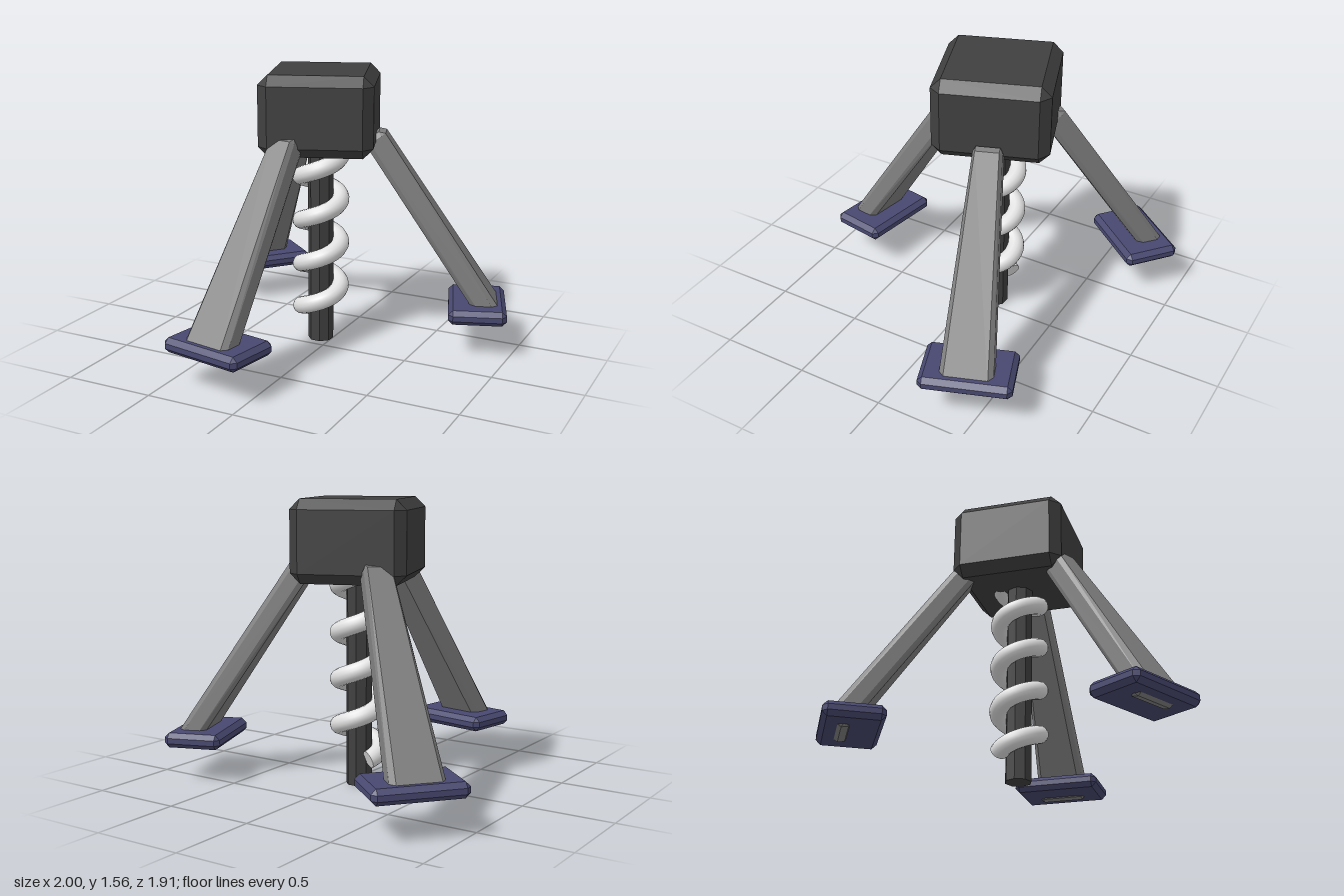
import * as THREE from 'three';
import { ConvexGeometry } from 'three/addons/geometries/ConvexGeometry.js';

const mat = (name, color, extra = {}) => {
  const m = new THREE.MeshStandardMaterial({ color, ...extra });
  m.name = name;
  return m;
};

// Box with every edge chamfered by c; taper scales the depth of the top end
function chamferBox(w, h, d, c, taper = 1) {
  const points = [];
  for (const sx of [-1, 1]) for (const sy of [-1, 1]) for (const sz of [-1, 1]) {
    for (let axis = 0; axis < 3; axis++) {
      const inset = [0, 1, 2].map(i => (i === axis ? 0 : c));
      const k = sy > 0 ? taper : 1;
      points.push(new THREE.Vector3(
        sx * (w / 2 - inset[0]),
        sy * (h / 2 - inset[1]),
        sz * (d / 2 - inset[2]) * k));
    }
  }
  return new ConvexGeometry(points);
}

// Rising spiral around the column
class Spiral extends THREE.Curve {
  getPoint(t, target = new THREE.Vector3()) {
    const start = -210 * Math.PI / 180, pitch = 0.255, midY = 0.305, topY = 1.16;
    const end = (topY - midY) / pitch * Math.PI * 2;
    const a = start + (end - start) * t;
    return target.set(0.11 * Math.cos(a), midY + pitch * a / (Math.PI * 2), -0.11 * Math.sin(a));
  }
}

export function createModel() {
  const dark = mat('dark grey', 0x404040);
  const grey = mat('mid grey', 0x808080);
  const blue = mat('slate blue', 0x484870);
  const pale = mat('pale grey', 0xe0e0e0);

  const model = new THREE.Group();
  model.name = 'tripodDrill';
  const body = new THREE.Group();
  body.name = 'body';
  body.position.set(-0.068, 0, -0.11);
  model.add(body);

  const add = (parent, name, geometry, material, x = 0, y = 0, z = 0) => {
    const mesh = new THREE.Mesh(geometry, material);
    mesh.name = name;
    mesh.position.set(x, y, z);
    parent.add(mesh);
    return mesh;
  };
  const turn = THREE.MathUtils.degToRad(20);

  // Head block
  add(body, 'head', chamferBox(0.618, 0.44, 0.618, 0.055), dark, 0, 1.34, 0).rotation.y = turn;

  // Drill shaft
  const shaftGeometry = new THREE.CylinderGeometry(0.072, 0.072, 1.2, 8).toNonIndexed();
  shaftGeometry.computeVertexNormals();
  add(body, 'drillShaft', shaftGeometry, dark, 0, 0.6, 0).rotation.y = turn;

  // Spiral thread with a flat closing disc at its lower end
  const spiral = new Spiral();
  add(body, 'drillSpiral', new THREE.TubeGeometry(spiral, 160, 0.05, 14), pale);
  const start = spiral.getPoint(0);
  const cap = add(body, 'spiralEnd', new THREE.CircleGeometry(0.05, 14), pale, start.x, start.y, start.z);
  cap.quaternion.setFromUnitVectors(new THREE.Vector3(0, 0, 1), spiral.getTangent(0).negate());

  // Three splayed legs with foot pads
  const top = new THREE.Vector2(0.293, 1.21), bottom = new THREE.Vector2(0.972, 0.2);
  const legGeometry = chamferBox(0.127, top.distanceTo(bottom), 0.285, 0.027, 0.54);
  const footGeometry = chamferBox(0.32, 0.082, 0.49, 0.026);
  for (let i = 0; i < 3; i++) {
    const support = new THREE.Group();
    support.name = 'support' + (i + 1);
    support.rotation.y = turn + i * Math.PI * 2 / 3;
    body.add(support);
    const leg = add(support, 'leg', legGeometry, grey, (top.x + bottom.x) / 2, (top.y + bottom.y) / 2, 0);
    leg.rotation.z = Math.atan2(bottom.x - top.x, top.y - bottom.y);
    add(support, 'foot', footGeometry, blue, 0.888, 0.234, 0);
  }
  return model;
}
